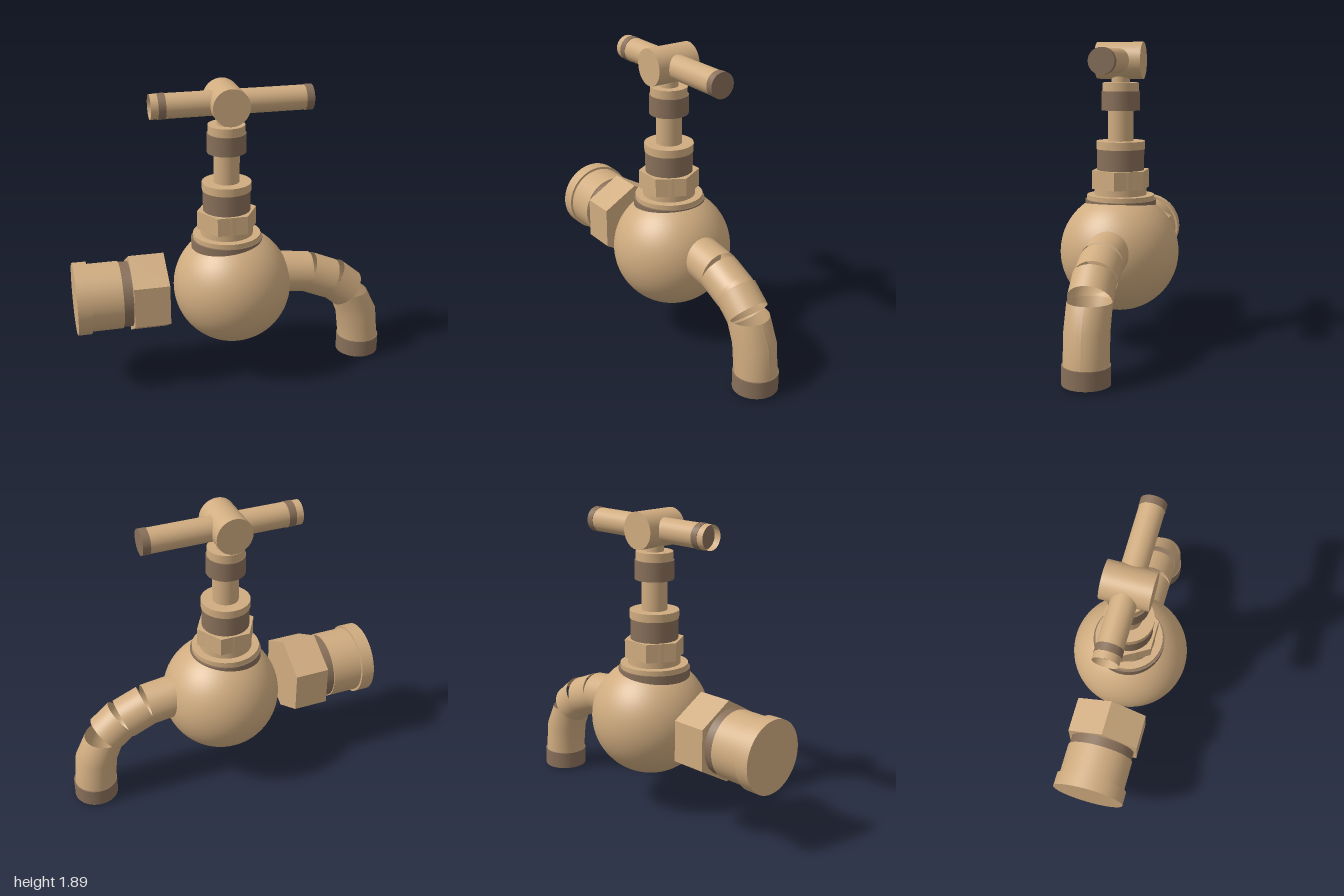
import * as THREE from 'three';

export function createModel() {
  const group = new THREE.Group();
  group.name = 'gardenTap';
  const tan = new THREE.MeshStandardMaterial({ name: 'tanBrass', color: 0xd0ac80, side: THREE.DoubleSide });
  const brown = new THREE.MeshStandardMaterial({ name: 'darkBrass', color: 0x89705a, side: THREE.DoubleSide });

  function add(name, geometry, material, x = 0, y = 0, z = 0) {
    const mesh = new THREE.Mesh(geometry, material);
    mesh.name = name;
    mesh.position.set(x, y, z);
    group.add(mesh);
    return mesh;
  }

  // Upright cylinder from y0 to y1
  const upright = (name, x, y0, y1, r, mat) =>
    add(name, new THREE.CylinderGeometry(r, r, y1 - y0, 48), mat, x, (y0 + y1) / 2);

  // Cylinder lying along x from x0 to x1
  const lying = (name, y, x0, x1, r, mat, open = false) =>
    add(name, new THREE.CylinderGeometry(r, r, x1 - x0, 48, 1, open).rotateZ(Math.PI / 2), mat, (x0 + x1) / 2, y);

  // Faceted hexagon with two corners on the x axis
  function hexagon(r, h) {
    const g = new THREE.CylinderGeometry(r, r, h, 6).rotateY(Math.PI / 6).toNonIndexed();
    g.computeVertexNormals();
    return g;
  }

  // Body
  add('body', new THREE.SphereGeometry(0.37, 64, 40), tan, -0.005, 0.59);

  // Inlet, standing slightly apart from the body
  add('inletNut', hexagon(0.255, 0.22).rotateZ(Math.PI / 2), tan, -0.55, 0.59);
  lying('inletNeck', 0.59, -0.72, -0.66, 0.203, brown);
  lying('inletPipe', 0.59, -0.915, -0.72, 0.21, tan);
  lying('inletFlange', 0.59, -1, -0.915, 0.225, tan);

  // Bonnet and spindle
  const sx = -0.038;
  [
    ['collar', 0.84, 0.916, 0.222, brown],
    ['collarPlate', 0.916, 0.945, 0.21, tan],
    ['bonnetBase', 0.945, 1.1, 0.163, tan],
    ['bonnetBand', 1.1, 1.23, 0.147, brown],
    ['bonnetFlange', 1.23, 1.28, 0.152, tan],
    ['spindle', 1.28, 1.47, 0.08, tan],
    ['spindleBand', 1.47, 1.588, 0.12, brown],
    ['spindleCap', 1.588, 1.64, 0.113, tan],
    ['spindleNeck', 1.64, 1.7, 0.058, tan],
  ].forEach(([name, y0, y1, r, mat]) => upright(name, sx, y0, y1, r, mat));
  add('bonnetNut', hexagon(0.187, 0.115), tan, sx, 1.0425);

  // Handle with hub and banded ends
  const hy = 1.775;
  add('handleHub', new THREE.CylinderGeometry(0.113, 0.113, 0.286, 48).rotateX(Math.PI / 2), tan, sx, hy);
  lying('handleBar', hy, -0.41, 0.44, 0.075, tan);
  lying('handleBandRight', hy, -0.455, -0.41, 0.078, brown);
  lying('handleBandLeft', hy, 0.44, 0.487, 0.078, brown);
  lying('handleTip', hy, -0.5, -0.455, 0.075, tan, true);

  // Spout: straight sleeves placed by their upper edge, leaving wedge gaps
  const R = 0.13;
  [
    [0.28, 0.773, 0.513, 0.743],
    [0.545, 0.733, 0.7, 0.668],
    [0.738, 0.658, 0.856, 0.561],
  ].forEach(([x0, y0, x1, y1], i) => {
    const length = Math.hypot(x1 - x0, y1 - y0);
    const dx = (x1 - x0) / length, dy = (y1 - y0) / length;
    const sleeve = add('spoutSleeve' + (i + 1),
      new THREE.CylinderGeometry(R, R, length, 48, 1, true), tan,
      (x0 + x1) / 2 + dy * R, (y0 + y1) / 2 - dx * R);
    sleeve.rotation.z = Math.atan2(dy, dx) - Math.PI / 2;
  });

  // Down pipe: rings given by their left and right points, top to bottom
  const rings = [
    [0.645, 0.455, 0.904, 0.455],
    [0.711, 0.29, 0.973, 0.315],
    [0.731, 0.115, 0.993, 0.115],
  ];
  const n = 48, positions = [], indices = [];
  rings.forEach(([lx, ly, rx, ry], k) => {
    for (let i = 0; i <= n; i++) {
      const a = (i / n) * Math.PI * 2, c = Math.cos(a) / 2;
      positions.push((lx + rx) / 2 + c * (rx - lx), (ly + ry) / 2 + c * (ry - ly), R * Math.sin(a));
      if (k < rings.length - 1 && i < n) {
        const p = k * (n + 1) + i, q = p + n + 1;
        indices.push(p, p + 1, q, p + 1, q + 1, q);
      }
    }
  });
  const pipe = new THREE.BufferGeometry();
  pipe.setAttribute('position', new THREE.Float32BufferAttribute(positions, 3));
  pipe.setIndex(indices);
  pipe.computeVertexNormals();
  add('spoutDownPipe', pipe, tan);

  // Outlet
  upright('outletBand', 0.862, 0.01, 0.12, 0.138, brown);
  upright('outletMouth', 0.862, 0, 0.01, 0.092, tan);

  return group;
}
